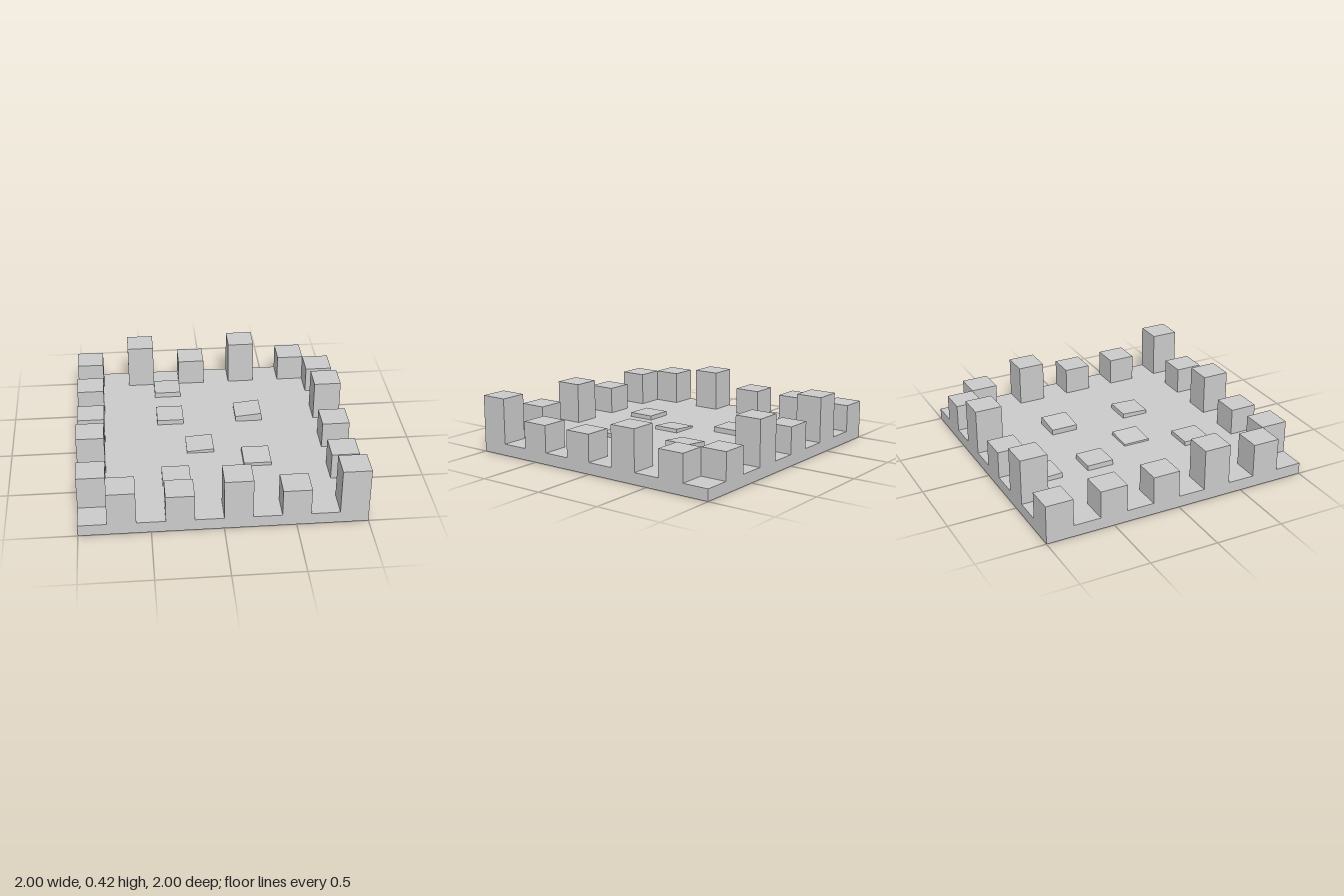
import * as THREE from 'three';

const CELL = 0.2;
const BASE = 0.085;
const centre = (i) => -0.9 + CELL * i; // centre of grid cell 0..9

export function createModel() {
  const group = new THREE.Group();
  const material = new THREE.MeshStandardMaterial({ color: 0xcccccc, flatShading: true });

  const addBox = (name, w, h, d, x, y, z) => {
    const mesh = new THREE.Mesh(new THREE.BoxGeometry(w, h, d), material);
    mesh.name = name;
    mesh.position.set(x, y, z);
    group.add(mesh);
    return mesh;
  };

  // Square floor slab
  addBox('floorSlab', 2, BASE, 2, 0, BASE / 2, 0);

  // Battlement blocks on every second cell of each edge; top heights by cell
  const battlement = (name, column, row, top) =>
    addBox(name, CELL, top - BASE, CELL, centre(column), (top + BASE) / 2, centre(row));
  const backTops = [0.285, 0.42, 0.285, 0.42, 0.285];
  const leftTops = [0.285, 0.385, 0.285, 0.285, 0.42];
  const frontTops = [0.33, 0.285, 0.385, 0.285];
  const rightTops = [0.285, 0.285, 0.385, 0.33];
  backTops.forEach((top, i) => battlement('backBattlement', 2 * i, 0, top));
  leftTops.forEach((top, i) => battlement('leftBattlement', 9, 2 * i + 1, top));
  frontTops.forEach((top, i) => battlement('frontBattlement', 2 * i + 1, 9, top));
  rightTops.forEach((top, i) => battlement('rightBattlement', 0, 2 * i + 2, top));

  // Loose floor tiles, slightly tilted: column, row, top height, rise along x, rise along z
  const tiles = [
    [3, 1, 0.12, 0, 0.04],
    [3, 3, 0.123, 0, 0],
    [6, 3, 0.137, 0.095, 0],
    [4, 5, 0.106, 0.065, 0],
    [6, 6, 0.116, 0, -0.04],
    [3, 7, 0.117, 0, 0],
  ];
  const thickness = 0.06;
  for (const [column, row, top, riseX, riseZ] of tiles) {
    const tile = addBox('floorTile', CELL, thickness, CELL, centre(column), top - thickness / 2, centre(row));
    tile.rotation.set(-Math.atan(riseZ), 0, Math.atan(riseX));
  }
  return group;
}
